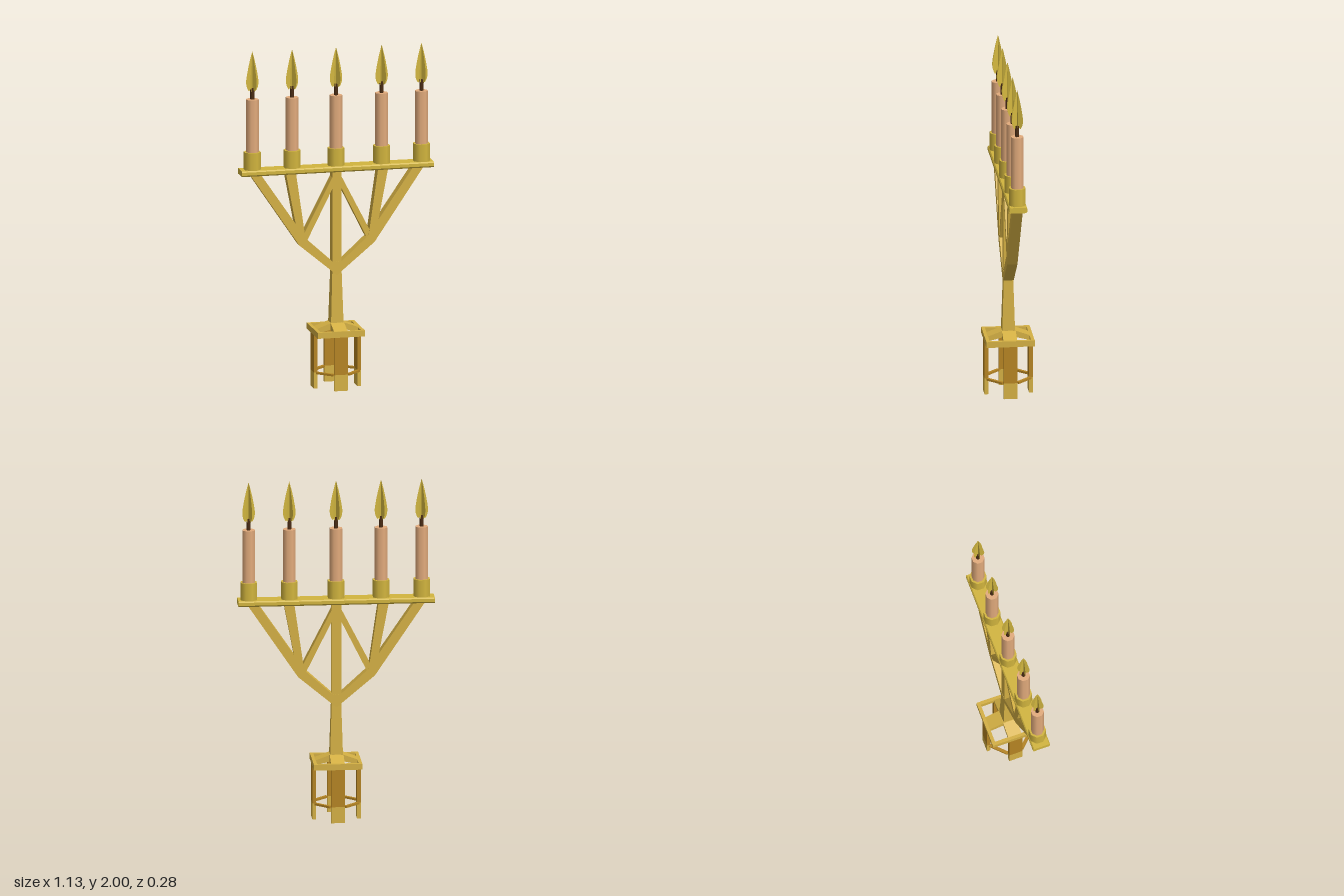
import * as THREE from 'three';

const gold = new THREE.MeshStandardMaterial({ name: 'gold', color: 0xd4b044 });
const darkGold = new THREE.MeshStandardMaterial({ name: 'darkGold', color: 0xb58422 });
const yellowGold = new THREE.MeshStandardMaterial({ name: 'yellowGold', color: 0xd2b53e });
const wax = new THREE.MeshStandardMaterial({ name: 'wax', color: 0xe2ab7c });
const wickBrown = new THREE.MeshStandardMaterial({ name: 'wickBrown', color: 0x4a2c14 });
const flameYellow = new THREE.MeshStandardMaterial({ name: 'flameYellow', color: 0xd4b840, side: THREE.DoubleSide });

function add(parent, name, geometry, material, x = 0, y = 0, z = 0) {
  const mesh = new THREE.Mesh(geometry, material);
  mesh.name = name;
  mesh.position.set(x, y, z);
  parent.add(mesh);
  return mesh;
}

// Flat outline extruded along z and centred on it
function slab(points, depth) {
  const shape = new THREE.Shape(points.map(([x, y]) => new THREE.Vector2(x, y)));
  const g = new THREE.ExtrudeGeometry(shape, { depth, bevelEnabled: false });
  return g.translate(0, 0, -depth / 2);
}

// Square prism tapering from half width b to half width t
function taperedPost(b, t, y0, y1) {
  const g = new THREE.CylinderGeometry(t * Math.SQRT2, b * Math.SQRT2, y1 - y0, 4).toNonIndexed();
  g.rotateY(Math.PI / 4);
  g.computeVertexNormals();
  return g.translate(0, (y0 + y1) / 2, 0);
}

function makeBase() {
  const base = new THREE.Group();
  base.name = 'base';
  // Open square frame
  const outline = new THREE.Shape([[-0.14, -0.14], [0.14, -0.14], [0.14, 0.14], [-0.14, 0.14]].map(p => new THREE.Vector2(...p)));
  outline.holes.push(new THREE.Path([[-0.12, -0.12], [-0.12, 0.12], [0.12, 0.12], [0.12, -0.12]].map(p => new THREE.Vector2(...p))));
  const frame = new THREE.ExtrudeGeometry(outline, { depth: 0.035, bevelEnabled: false }).rotateX(-Math.PI / 2);
  add(base, 'squareFrame', frame, gold, 0, 0.315, 0);

  for (let i = 0; i < 4; i++) {
    const side = new THREE.Group();
    side.name = 'baseSide';
    side.rotation.y = i * Math.PI / 2;
    // Panel leg with a lighter foot
    add(side, 'leg', new THREE.BoxGeometry(0.08, 0.22, 0.022), darkGold, 0, 0.205, 0.129);
    add(side, 'foot', new THREE.BoxGeometry(0.08, 0.095, 0.022), gold, 0, 0.0475, 0.129);
    // Sloping arm from the stem down to the frame
    const arm = slab([[0.025, 0.382], [0.04, 0.38], [0.125, 0.349], [0.125, 0.32], [0.025, 0.345]], 0.08);
    add(side, 'slopingArm', arm, gold);
    // Thin rail linking neighbouring legs
    const rail = add(side, 'rail', new THREE.BoxGeometry(0.115, 0.012, 0.018), darkGold, 0.083, 0.092, 0.083);
    rail.rotation.y = Math.PI / 4;
    base.add(side);
  }
  return base;
}

function makeBranches() {
  const group = new THREE.Group();
  group.name = 'branches';
  const outlines = {
    lowerBranch: [[0, 0.66], [0.222, 0.845], [0.18, 0.88], [0.02, 0.735], [0, 0.74]],
    outerBranch: [[0.222, 0.845], [0.512, 1.275], [0.45, 1.275], [0.18, 0.88]],
    innerBranch: [[0.185, 0.875], [0.24, 0.95], [0.302, 1.275], [0.243, 1.275]],
    brace: [[0.18, 0.865], [0.202, 0.9], [0.022, 1.25], [0, 1.25], [0, 1.225]],
  };
  for (const s of [1, -1]) {
    for (const [name, pts] of Object.entries(outlines)) {
      add(group, name, slab(pts.map(([x, y]) => [s * x, y]), name === 'brace' ? 0.056 : 0.06), gold);
    }
  }
  return group;
}

// Leaf outline with a notched bottom, used for the crossed flame planes
function flameGeometry() {
  const s = new THREE.Shape();
  s.moveTo(0, 0.02);
  s.lineTo(0.02, 0);
  s.quadraticCurveTo(0.043, 0.03, 0.034, 0.08);
  s.quadraticCurveTo(0.022, 0.16, 0, 0.235);
  s.quadraticCurveTo(-0.022, 0.16, -0.034, 0.08);
  s.quadraticCurveTo(-0.043, 0.03, -0.02, 0);
  s.closePath();
  return new THREE.ShapeGeometry(s, 6);
}

function makeCandle(x) {
  const candle = new THREE.Group();
  candle.name = 'candle';
  candle.position.set(x, 0, 0.003);
  const tube = (r, y0, y1) => new THREE.CylinderGeometry(r, r, y1 - y0, 8)
    .rotateY(Math.PI / 8).translate(0, (y0 + y1) / 2, 0);
  add(candle, 'cup', tube(0.05, 1.3, 1.408), yellowGold);
  add(candle, 'waxStick', tube(0.038, 1.4, 1.718), wax);
  add(candle, 'wick', tube(0.012, 1.71, 1.785), wickBrown);
  const flame = flameGeometry();
  for (let i = 0; i < 3; i++) {
    add(candle, 'flame', flame, flameYellow, 0, 1.765, 0).rotation.y = i * Math.PI / 3;
  }
  return candle;
}

export function createModel() {
  const model = new THREE.Group();
  model.name = 'candelabra';
  model.add(makeBase());
  // Stem: tapered lower part, straight upper part
  add(model, 'lowerStem', taperedPost(0.038, 0.028, 0.345, 0.67), gold);
  add(model, 'upperStem', taperedPost(0.028, 0.028, 0.67, 1.275), gold);
  model.add(makeBranches());
  // Long tray with chamfered long edges
  const t = [[-0.052, 1.28], [-0.046, 1.272], [0.046, 1.272], [0.052, 1.28], [0.052, 1.298], [0.046, 1.305], [-0.046, 1.305], [-0.052, 1.298]];
  const tray = slab(t, 1.135).rotateY(Math.PI / 2);
  add(model, 'tray', tray, yellowGold, 0, 0, 0.003);
  for (const x of [-0.495, -0.26, 0, 0.27, 0.505]) model.add(makeCandle(x));
  return model;
}
